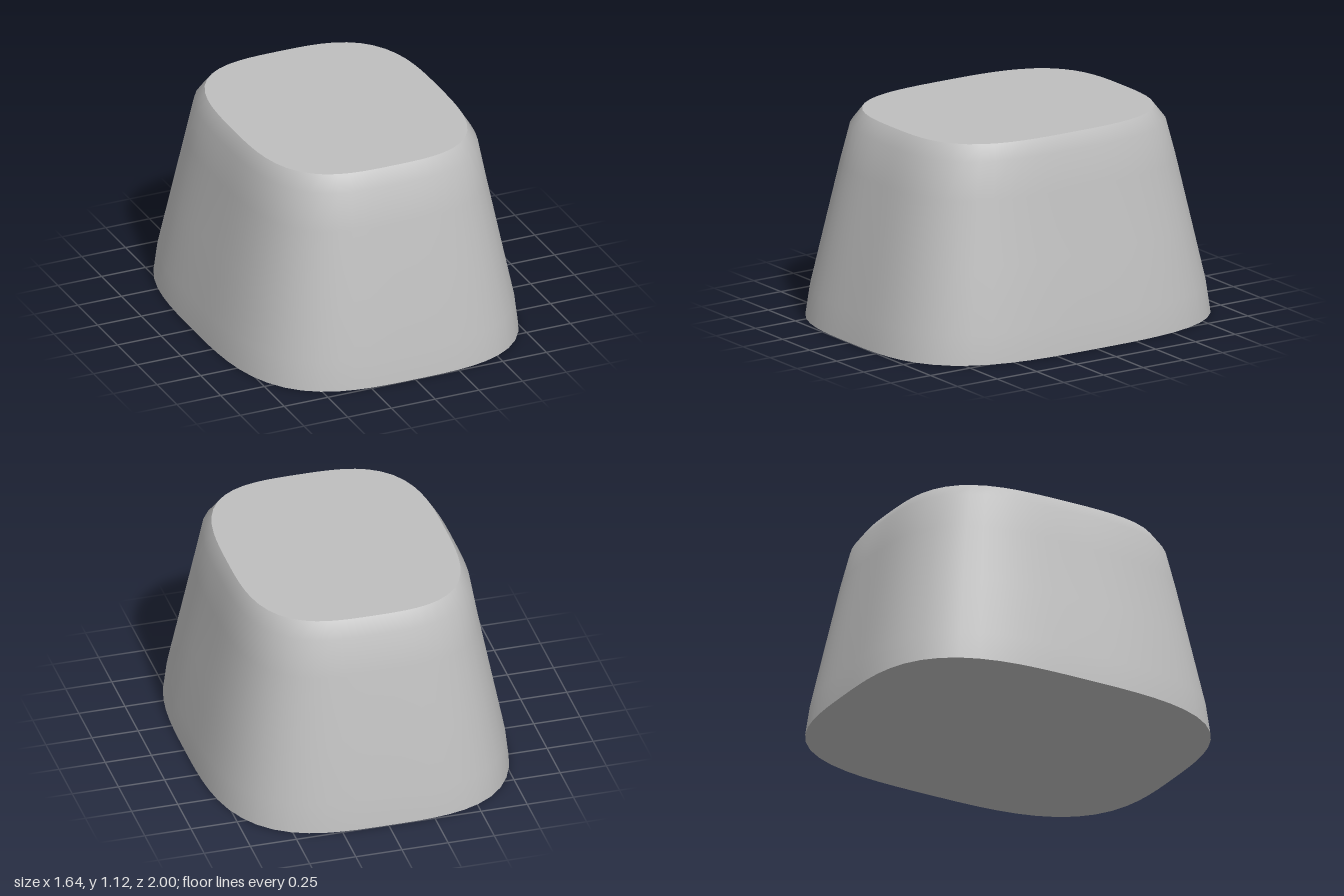
import * as THREE from 'three';

const SEGMENTS = 64;
const EXPONENT = 3.2;

// Levels of the body: height, half width, half depth
const LEVELS = [
  [0, 0.82, 1], [0.16, 0.803, 0.977], [0.5, 0.737, 0.905],
  [0.84, 0.672, 0.832], [1.04, 0.638, 0.78], [1.12, 0.59, 0.72],
];

// Point on a rounded-rectangle (superellipse) outline
function outline(i, a, b) {
  const t = (i / SEGMENTS) * Math.PI * 2;
  const c = Math.cos(t), s = Math.sin(t);
  const r = (Math.abs(c) ** EXPONENT + Math.abs(s) ** EXPONENT) ** (-1 / EXPONENT);
  return [a * r * c, b * r * s];
}

// Smooth tapered wall lofted through the levels
function wallGeometry() {
  const positions = [], indices = [];
  for (const [y, a, b] of LEVELS) {
    for (let i = 0; i < SEGMENTS; i++) {
      const [x, z] = outline(i, a, b);
      positions.push(x, y, z);
    }
  }
  for (let k = 0; k < LEVELS.length - 1; k++) {
    for (let i = 0; i < SEGMENTS; i++) {
      const j = (i + 1) % SEGMENTS;
      const p = k * SEGMENTS + i, q = k * SEGMENTS + j;
      indices.push(p, p + SEGMENTS, q, q, p + SEGMENTS, q + SEGMENTS);
    }
  }
  const geometry = new THREE.BufferGeometry();
  geometry.setAttribute('position', new THREE.Float32BufferAttribute(positions, 3));
  geometry.setIndex(indices);
  geometry.computeVertexNormals();
  return geometry;
}

// Flat cap filling one level, facing up or down
function capGeometry([y, a, b], up) {
  const points = [];
  for (let i = 0; i < SEGMENTS; i++) points.push(new THREE.Vector2(...outline(i, a, b)));
  const geometry = new THREE.ShapeGeometry(new THREE.Shape(points));
  geometry.rotateX(up ? -Math.PI / 2 : Math.PI / 2);
  return geometry.translate(0, y, 0);
}

export function createModel() {
  const group = new THREE.Group();
  group.name = 'taperedBlock';
  const grey = new THREE.MeshStandardMaterial({ color: 0xbfbfbf });
  grey.name = 'light grey';

  const add = (name, geometry) => {
    const mesh = new THREE.Mesh(geometry, grey);
    mesh.name = name;
    group.add(mesh);
  };
  add('wall', wallGeometry());
  add('topFace', capGeometry(LEVELS[LEVELS.length - 1], true));
  add('baseFace', capGeometry(LEVELS[0], false));
  return group;
}
